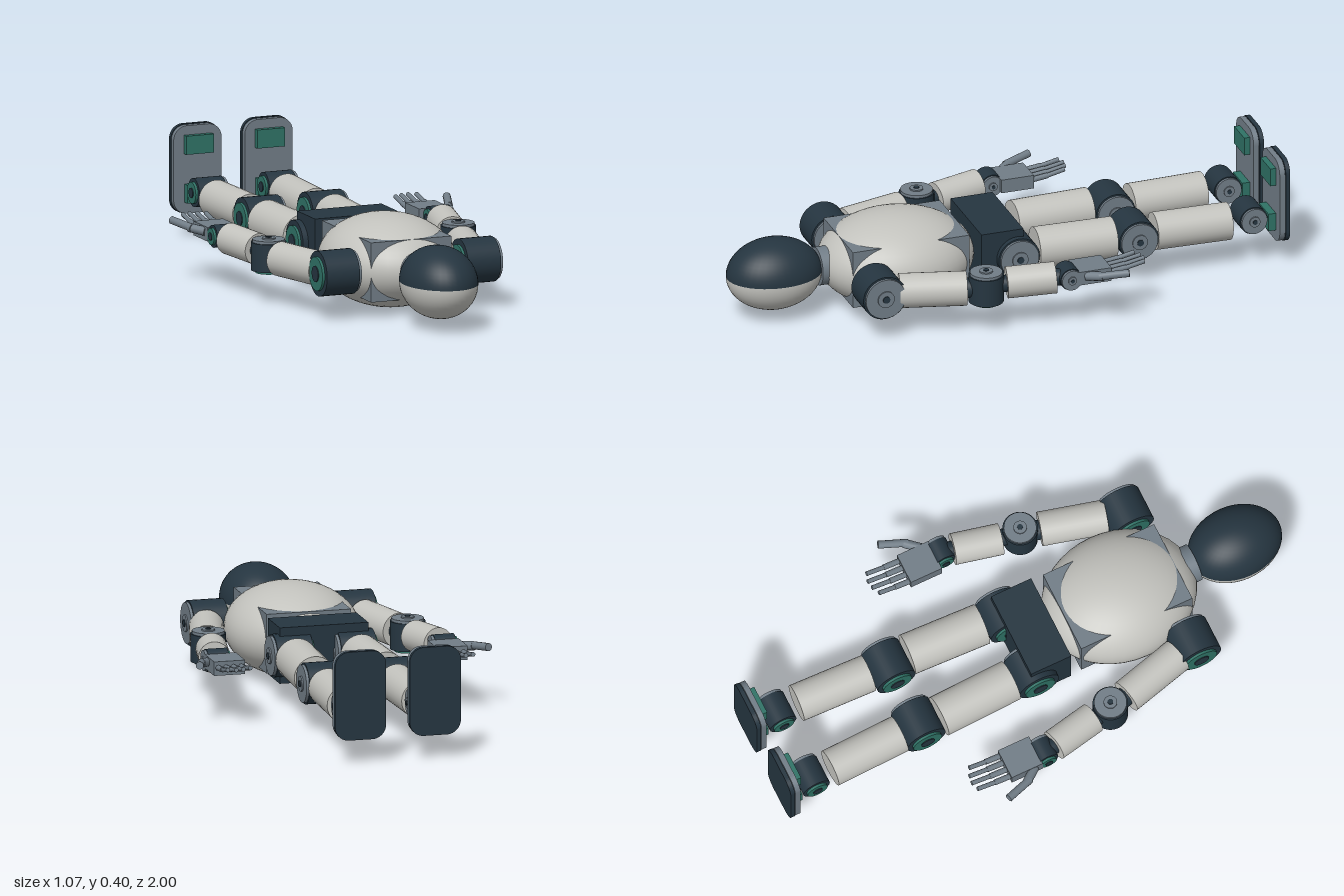
import * as THREE from 'three';

const mat = (name, color, flatShading = false) => {
  const m = new THREE.MeshStandardMaterial({ color, flatShading });
  m.name = name;
  return m;
};

export function createModel() {
  const light = mat('lightShell', 0xc2c2bd);
  const dark = mat('darkCasing', 0x253540);
  const grey = mat('greyMetal', 0x717d87);
  const green = mat('greenPad', 0x2f7266);
  const root = new THREE.Group();
  root.name = 'recliningRobot';

  const add = (parent, name, geo, material, x = 0, y = 0, z = 0) => {
    const m = new THREE.Mesh(geo, material);
    m.name = name;
    m.position.set(x, y, z);
    parent.add(m);
    return m;
  };
  const box = (parent, name, w, h, d, material, x, y, z) =>
    add(parent, name, new THREE.BoxGeometry(w, h, d), material, x, y, z);

  // Cylinder running between two points
  const rod = (parent, name, a, b, r, material, sides = 32) => {
    const p = new THREE.Vector3(...a), q = new THREE.Vector3(...b);
    const dir = q.clone().sub(p);
    const m = add(parent, name, new THREE.CylinderGeometry(r, r, dir.length(), sides), material);
    m.position.copy(p).add(q).multiplyScalar(0.5);
    m.quaternion.setFromUnitVectors(new THREE.Vector3(0, 1, 0), dir.normalize());
    return m;
  };

  // Motor joint along local y: dark drum, grey cap on top, green cap below
  const joint = (parent, name, r, length, x, y, z, alongX = true) => {
    const g = new THREE.Group();
    g.name = name;
    const disc = (part, radius, h, cy, material) =>
      add(g, part, new THREE.CylinderGeometry(radius, radius, h, 32), material, 0, cy, 0);
    const top = length / 2;
    disc('drum', r, length, 0, dark);
    disc('greyCap', r * 0.92, 0.012, top + 0.004, grey);
    disc('capRing', r * 0.38, 0.006, top + 0.012, grey);
    disc('capPin', r * 0.16, 0.004, top + 0.016, dark);
    disc('greenCap', r * 0.75, 0.01, -top - 0.004, green);
    disc('greenCapHub', r * 0.35, 0.004, -top - 0.01, dark);
    if (alongX) g.rotation.z = -Math.PI / 2;
    g.position.set(x, y, z);
    parent.add(g);
  };

  // Head: dark face half above, light shell half below
  const half = (name, start, material) =>
    add(root, name, new THREE.SphereGeometry(1, 40, 14, 0, Math.PI * 2, start, Math.PI / 2),
      material, 0, 0.165, 0.828).scale.set(0.131, 0.128, 0.172);
  half('facePlate', 0, dark);
  half('headShell', Math.PI / 2, light);
  rod(root, 'neck', [0, 0.165, 0.6], [0, 0.165, 0.67], 0.068, grey);

  // Torso: oval shell with the corners of an inner frame showing through
  add(root, 'torsoShell', new THREE.SphereGeometry(1, 40, 28), light, 0, 0.163, 0.38)
    .scale.set(0.235, 0.163, 0.28);
  box(root, 'torsoFrame', 0.305, 0.212, 0.43, grey, 0, 0.165, 0.375);
  box(root, 'pelvis', 0.32, 0.2, 0.155, dark, 0, 0.168, 0.04);

  const buildArm = (s) => {
    const arm = new THREE.Group();
    arm.name = s > 0 ? 'leftArm' : 'rightArm';
    root.add(arm);
    joint(arm, 'shoulder', 0.08, 0.125, s * 0.268, 0.166, 0.535);
    rod(arm, 'upperArm', [s * 0.345, 0.165, 0.24], [s * 0.285, 0.165, 0.468], 0.061, light);
    rod(arm, 'upperArmCore', [s * 0.36, 0.165, 0.17], [s * 0.27, 0.165, 0.535], 0.035, dark);
    joint(arm, 'elbow', 0.062, 0.1, s * 0.36, 0.165, 0.172, false);
    rod(arm, 'forearm', [s * 0.368, 0.175, 0.1], [s * 0.404, 0.184, -0.068], 0.056, light);
    rod(arm, 'forearmCore', [s * 0.36, 0.17, 0.17], [s * 0.41, 0.186, -0.1], 0.03, dark);
    joint(arm, 'wrist', 0.04, 0.075, s * 0.41, 0.187, -0.112);

    // Hand: flat palm, four jointed fingers and a thumb pointing outward
    const hand = new THREE.Group();
    hand.name = 'hand';
    arm.add(hand);
    box(hand, 'palm', 0.112, 0.05, 0.12, grey, s * 0.402, 0.19, -0.197);
    [[0.36, 0.375], [0.388, 0.388], [0.415, 0.392], [0.443, 0.383]].forEach(([x, end]) => {
      const mid = 0.25 + (end - 0.25) * 0.5;
      rod(hand, 'fingerBase', [s * x, 0.192, -0.25], [s * x, 0.2, -mid], 0.01, grey, 10);
      rod(hand, 'fingerTip', [s * x, 0.2, -mid], [s * x, 0.214, -end], 0.008, grey, 10);
    });
    rod(hand, 'thumbBase', [s * 0.452, 0.195, -0.165], [s * 0.492, 0.203, -0.215], 0.016, grey, 12);
    rod(hand, 'thumbTip', [s * 0.487, 0.203, -0.2], [s * 0.522, 0.216, -0.3], 0.014, grey, 12);
  };

  // Rounded plate lying in the xy plane
  const plate = (w, h, r, depth) => {
    const sh = new THREE.Shape();
    const x = w / 2 - r, y = h / 2 - r;
    sh.absarc(x, y, r, 0, Math.PI / 2);
    sh.absarc(-x, y, r, Math.PI / 2, Math.PI);
    sh.absarc(-x, -y, r, Math.PI, Math.PI * 1.5);
    sh.absarc(x, -y, r, Math.PI * 1.5, Math.PI * 2);
    return new THREE.ExtrudeGeometry(sh, { depth, bevelEnabled: false, curveSegments: 8 });
  };

  const buildLeg = (s) => {
    const leg = new THREE.Group();
    leg.name = s > 0 ? 'leftLeg' : 'rightLeg';
    root.add(leg);
    joint(leg, 'hip', 0.076, 0.13, s * 0.115, 0.165, -0.015);
    rod(leg, 'thigh', [s * 0.116, 0.167, -0.095], [s * 0.127, 0.167, -0.378], 0.074, light);
    joint(leg, 'knee', 0.073, 0.135, s * 0.12, 0.166, -0.455);
    rod(leg, 'shin', [s * 0.125, 0.166, -0.53], [s * 0.134, 0.166, -0.803], 0.067, light);
    joint(leg, 'ankle', 0.051, 0.105, s * 0.133, 0.177, -0.88);

    // Foot: two green pads, grey plate and dark sole
    box(leg, 'heelPad', 0.1, 0.065, 0.03, green, s * 0.135, 0.16, -0.95);
    box(leg, 'toePad', 0.104, 0.066, 0.022, green, s * 0.135, 0.333, -0.952);
    add(leg, 'footPlate', plate(0.182, 0.312, 0.05, 0.02), grey, s * 0.135, 0.243, -0.982);
    add(leg, 'sole', plate(0.184, 0.316, 0.05, 0.016), dark, s * 0.135, 0.243, -1);
  };

  for (const s of [-1, 1]) {
    buildArm(s);
    buildLeg(s);
  }
  return root;
}
